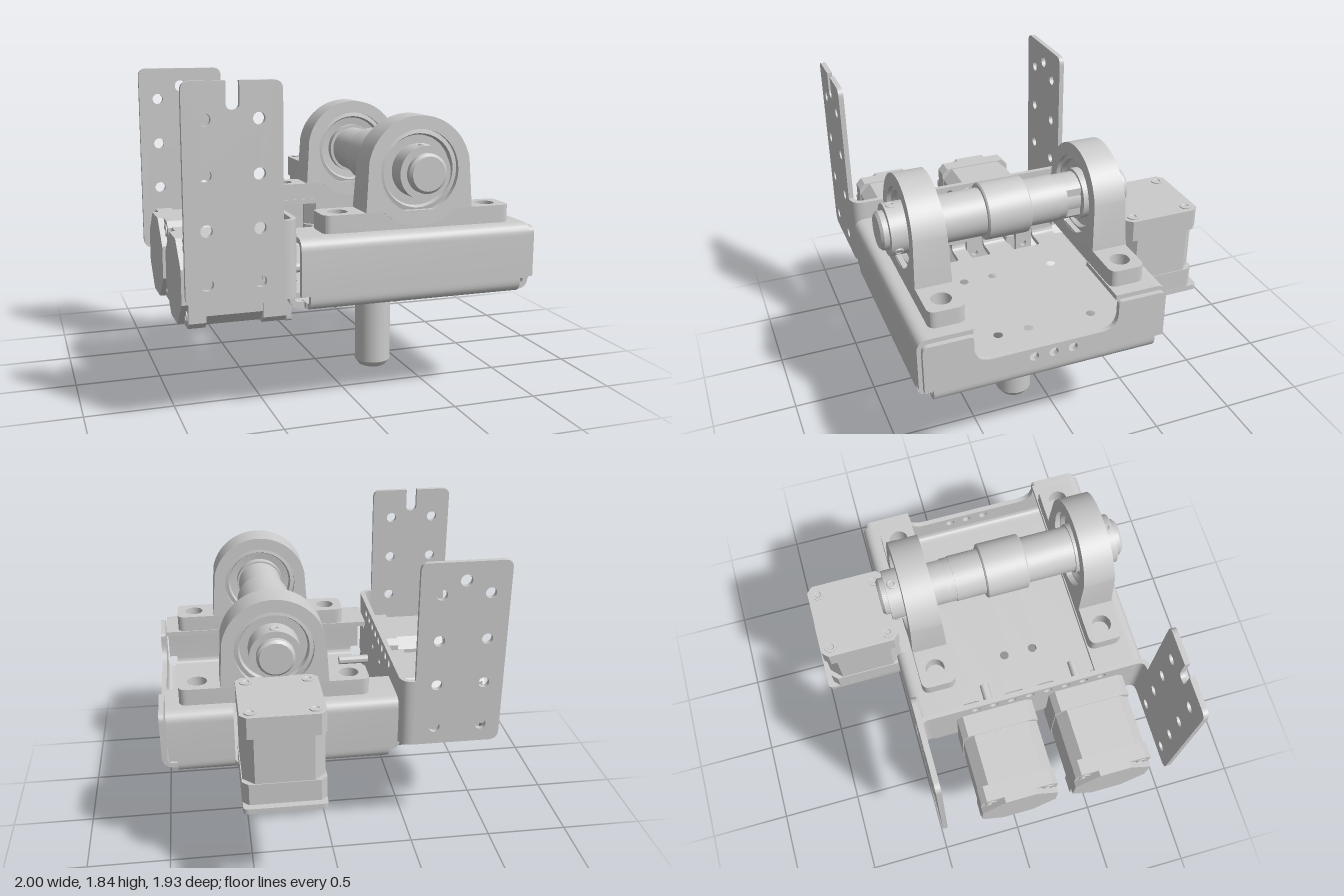
import * as THREE from 'three';
import { toCreasedNormals } from 'three/addons/utils/BufferGeometryUtils.js';

const mat = new THREE.MeshStandardMaterial({ color: 0xcccccc });
const T = 0.03; // sheet thickness
const CX = 0.325; // x of both shafts
const AXIS = 1.325; // height of the horizontal shaft
const V = (x, y) => new THREE.Vector2(x, y);

function add(parent, name, geo) {
  const m = new THREE.Mesh(toCreasedNormals(geo, 0.6), mat);
  m.name = name;
  parent.add(m);
  return m;
}

// Polygon of [x, y, cornerRadius] with round holes [x, y, r]
function outline(pts, holes = []) {
  const s = new THREE.Shape();
  pts.forEach(([x, y, r = 0], i) => {
    const p = V(x, y);
    const toward = (q) => V(q[0], q[1]).sub(p).setLength(r).add(p);
    const a = toward(pts.at(i - 1)), b = toward(pts[(i + 1) % pts.length]);
    if (i) s.lineTo(a.x, a.y); else s.moveTo(a.x, a.y);
    if (r) s.quadraticCurveTo(x, y, b.x, b.y);
  });
  s.closePath();
  for (const [x, y, r] of holes) s.holes.push(new THREE.Path().absarc(x, y, r, 0, Math.PI * 2, true));
  return s;
}

const rect = (x0, y0, x1, y1, r = 0) => [[x0, y0, r], [x1, y0, r], [x1, y1, r], [x0, y1, r]];

// Cross-section of a bent sheet following a centre line with rounded corners
function bent(path, r = 0.05) {
  const left = [], right = [];
  const put = (p, d) => {
    const n = V(-d.y, d.x).setLength(T / 2);
    left.push(p.clone().add(n));
    right.unshift(p.clone().sub(n));
  };
  const P = path.map(([x, y]) => V(x, y));
  P.forEach((p, i) => {
    const a = P[i - 1], b = P[i + 1];
    if (!a) put(p, b.clone().sub(p));
    else if (!b) put(p, p.clone().sub(a));
    else {
      const c = new THREE.QuadraticBezierCurve(
        a.clone().sub(p).setLength(r).add(p), p, b.clone().sub(p).setLength(r).add(p));
      for (let k = 0; k <= 6; k++) put(c.getPoint(k / 6), c.getTangent(k / 6));
    }
  });
  return new THREE.Shape([...left, ...right]);
}

const extrude = (shape, depth) =>
  new THREE.ExtrudeGeometry(shape, { depth, bevelEnabled: false, curveSegments: 16 });
// Shape in (x, y), (z, y) or (x, -z), extruded between two positions on the third axis
const alongZ = (s, a, b) => extrude(s, b - a).translate(0, 0, a);
const alongX = (s, a, b) => extrude(s, b - a).rotateY(-Math.PI / 2).translate(b, 0, 0);
const alongY = (s, a, b) => extrude(s, b - a).rotateX(-Math.PI / 2).translate(0, a, 0);
// Turned part from [radius, height] points, listed upward on the outside
const turned = (pts) => new THREE.LatheGeometry(pts.map(([r, h]) => V(r, h)), 40);

// Stepper motor, front face at the origin, shaft along +z; recess cuts the rear corners back
function motor(name, length, shaft, recess) {
  const g = new THREE.Group();
  g.name = name;
  const block = (h, c) => outline([
    [-h + c, -h], [h - c, -h], [h, -h + c], [h, h - c], [h - c, h], [-h + c, h], [-h, h - c], [-h, -h + c]]);
  add(g, 'motorFrontCap', alongZ(block(0.235, 0.035), -0.13, 0));
  add(g, 'motorCore', alongZ(block(0.23, 0.065), -length + 0.13, -0.13));
  add(g, 'motorRearCap', alongZ(block(0.235, 0.035), -length + recess, -length + 0.13));
  if (recess) add(g, 'motorRearCover', alongZ(block(0.235, 0.14), -length, -length + recess));
  add(g, 'motorBoss', turned([[0, 0], [0.12, 0], [0.12, 0.02], [0, 0.02]]).rotateX(Math.PI / 2));
  add(g, 'motorShaft', turned([[0, 0], [0.028, 0], [0.028, shaft], [0, shaft]]).rotateX(Math.PI / 2));
  for (const x of [-0.175, 0.175]) for (const y of [-0.175, 0.175]) {
    add(g, 'motorScrew', turned([[0.036, -0.004], [0.036, 0.006], [0.02, 0.006], [0.014, -0.003], [0, -0.003]])
      .rotateX(-Math.PI / 2).translate(x, y, -length + recess));
  }
  return g;
}

// Pillow block centred on the shaft axis, outer side toward +z
function pillowBlock() {
  const g = new THREE.Group();
  g.name = 'pillowBlock';
  add(g, 'pillowBase', alongY(outline(rect(-0.555, -0.104, 0.555, 0.104, 0.05),
    [[-0.445, 0, 0.057], [0.445, 0, 0.057]]), -0.317, -0.215));
  const s = new THREE.Shape();
  s.moveTo(-0.315, -0.216);
  s.lineTo(-0.214, -0.214);
  s.absarc(0, 0, 0.303, Math.PI * 1.25, Math.PI * 1.75, false);
  s.lineTo(0.315, -0.216);
  s.absarc(0, 0, 0.303, 0.2, Math.PI - 0.2, false);
  s.holes.push(new THREE.Path().absarc(0, 0, 0.23, 0, Math.PI * 2, true));
  const housing = alongZ(s, -0.1, 0.1);
  // Housing is cast slightly thinner toward the top
  const pos = housing.attributes.position;
  for (let i = 0; i < pos.count; i++) pos.setZ(i, pos.getZ(i) * (0.98 - 0.36 * pos.getY(i)));
  add(g, 'housing', housing);
  const bearing = [[0.23, -0.07], [0.23, 0.07], [0.205, 0.075], [0.195, 0.05], [0.148, 0.05], [0.148, 0.17],
    [0.11, 0.17], [0.11, -0.09], [0.15, -0.09], [0.15, -0.045], [0.195, -0.05], [0.205, -0.075], [0.23, -0.07]];
  add(g, 'bearing', turned(bearing).rotateX(Math.PI / 2));
  for (const a of [-0.55, 1.55]) {
    add(g, 'setScrew', new THREE.TorusGeometry(0.022, 0.008, 8, 16).rotateY(Math.PI / 2)
      .translate(0.146, 0, 0.13).rotateZ(a));
  }
  return g;
}

export function createModel() {
  const model = new THREE.Group();
  model.name = 'motorisedPivotMount';

  // Floor with notches beside the side motors and a tongue for the rear motor
  const notches = [[-0.25, -0.06], [0.1, 0.23], [0.32, 0.44], [0.68, 0.8]];
  const floor = [[-0.34, 0.44], [0.07, 0.44], [0.09, 0.48], [0.09, 0.97, 0.03], [0.56, 0.97, 0.03],
    [0.56, 0.48], [0.58, 0.44], [0.92, 0.44], [0.92, -0.89], [-0.34, -0.89]];
  for (const [a, b] of [...notches].reverse()) {
    floor.push([-0.34, -b], [-0.25, -b, 0.02], [-0.25, -a, 0.02], [-0.34, -a]);
  }
  const floorHoles = [[CX, 0.695, 0.125]];
  for (const x of [0, 0.6]) for (const z of [-0.22, 0.18, 0.37, 0.77]) floorHoles.push([x, -z, 0.028]);
  const floorShape = outline(floor, floorHoles);
  for (const x of [0.15, 0.5]) for (const z of [0.52, 0.87]) {
    floorShape.holes.push(new THREE.Path(rect(x - 0.035, z - 0.015, x + 0.035, z + 0.015).map((p) => V(...p))));
  }
  add(model, 'floor', alongY(floorShape, 0.617, 0.65));

  // Front and rear walls with inward flanges; the rear one is split around its motor
  const wall = (name, x0, x1, trim0, trim1, f) => {
    add(model, name, alongX(bent([[0.935, 0.7], [0.935, 0.995], [0.64, 0.995]].map(f)), x0, x1));
    add(model, name + 'Bend', alongX(bent([[0.88, 0.632], [0.935, 0.632], [0.935, 0.7]].map(f)), x0 + trim0, x1 - trim1));
  };
  wall('frontWall', -0.385, 0.96, 0.05, 0.05, (p) => p);
  const flip = ([z, y]) => [0.45 - z, y];
  wall('rearWallRight', -0.385, 0.07, 0.05, 0, flip);
  wall('rearWallLeft', 0.575, 0.96, 0, 0.05, flip);

  // Left wall with a wide dip
  add(model, 'leftWall', alongX(outline([[-0.48, 0.7], [0.93, 0.7], [0.93, 0.99, 0.04], [0.65, 0.99, 0.02],
    [0.65, 0.82, 0.1], [-0.19, 0.82, 0.1], [-0.19, 0.99, 0.02], [-0.48, 0.99, 0.04]],
  [0.31, 0.195, 0.08].map((z) => [z, 0.765, 0.027])), 0.97, 1));
  add(model, 'leftBend', alongZ(bent([[0.92, 0.632], [0.985, 0.632], [0.985, 0.701]]), -0.43, 0.88));

  // Right wall carrying the side motors, with tabs hanging below the floor
  const motorZ = [-0.015, 0.565];
  const rightHoles = [], rightEdge = [[-0.42, 0.69]];
  for (let i = 0; i < 8; i++) rightHoles.push([0.654 - i * 0.112, 1.067, 0.027]);
  for (const c of motorZ) for (const z of [c - 0.175, c + 0.175]) {
    rightHoles.push([z, 0.94, 0.02], [z, 0.59, 0.02]);
    rightEdge.push([z - 0.055, 0.69], [z - 0.055, 0.53, 0.02], [z + 0.055, 0.53, 0.02], [z + 0.055, 0.69]);
  }
  rightEdge.push([0.87, 0.69], [0.87, 1.12], [-0.42, 1.12]);
  add(model, 'rightWall', alongX(outline(rightEdge, rightHoles), -0.425, -0.395));
  for (const [a, b] of [[-0.4, -0.25], [-0.06, 0.1], [0.23, 0.32], [0.44, 0.68], [0.8, 0.85]]) {
    add(model, 'rightBend', alongZ(bent([[-0.34, 0.632], [-0.41, 0.632], [-0.41, 0.7]]), a, b));
  }

  // Tall flaps folded from the right wall; the front one has a slot, the rear one a hole
  const flapHoles = [];
  for (const x of [-0.885, -0.605]) for (const y of [0.81, 1.09, 1.37, 1.65]) flapHoles.push([x, y, 0.032]);
  const slot = [[-0.705, 1.84], [-0.705, 1.695, 0.034], [-0.775, 1.695, 0.034], [-0.775, 1.84]];
  const flap = (cut) => [[-1, 0.7, 0.06], [-0.48, 0.7], [-0.48, 1.84, 0.05], ...cut, [-1, 1.84, 0.05]];
  add(model, 'frontFlap', alongZ(outline(flap(slot), flapHoles), 0.92, 0.95));
  add(model, 'rearFlap', alongZ(outline(flap([]), [...flapHoles, [-0.74, 1.73, 0.035]]), -0.5, -0.47));
  for (const [z0, z1] of [[0.865, 0.935], [-0.415, -0.485]]) {
    add(model, 'flapBend', alongY(bent([[-0.41, -z0], [-0.41, -z1], [-0.482, -z1]], 0.065), 0.7, 1.12));
  }

  // Motors
  for (const z of motorZ) {
    const m = motor('sideMotor', 0.57, 0.23, 0.035);
    m.rotation.y = Math.PI / 2;
    m.position.set(-0.425, 0.765, z);
    model.add(m);
  }
  const rear = motor('rearMotor', 0.543, 0.03, 0);
  rear.rotation.x = Math.PI / 2;
  rear.position.set(CX, 0.651, -0.695);
  model.add(rear);

  // Pillow blocks facing outward
  for (const [z, turn] of [[0.75, 0], [-0.3, Math.PI]]) {
    const b = pillowBlock();
    b.position.set(CX, AXIS, z);
    b.rotation.y = turn;
    model.add(b);
  }

  // Horizontal shaft with a thick middle collar, stepped ends and a wrench flat near the rear
  const axle = [[0, -0.515], [0.095, -0.515], [0.11, -0.5], [0.11, -0.12], [0.133, -0.12], [0.133, -0.07],
    [0.138, -0.07], [0.138, 0.11], [0.157, 0.11], [0.165, 0.118], [0.165, 0.362], [0.157, 0.37], [0.138, 0.37],
    [0.138, 0.66], [0.11, 0.66], [0.11, 0.95], [0.095, 0.965], [0, 0.965]];
  add(model, 'horizontalShaft', turned(axle).rotateX(Math.PI / 2).translate(CX, AXIS, 0));
  const flat = new THREE.Shape().absarc(0, 0, 0.133, 0.7, Math.PI * 2 - 0.7, false);
  add(model, 'wrenchFlat', alongZ(flat, -0.22, -0.12).translate(CX, AXIS, 0));

  // Vertical shaft under the floor
  const post = [[0, 0], [0.085, 0], [0.11, 0.035], [0.11, 0.43], [0.118, 0.43], [0.137, 0.455], [0.137, 0.6],
    [0.165, 0.6], [0.165, 0.63], [0, 0.63]];
  add(model, 'verticalShaft', turned(post).translate(CX, 0, 0.172));

  return model;
}
